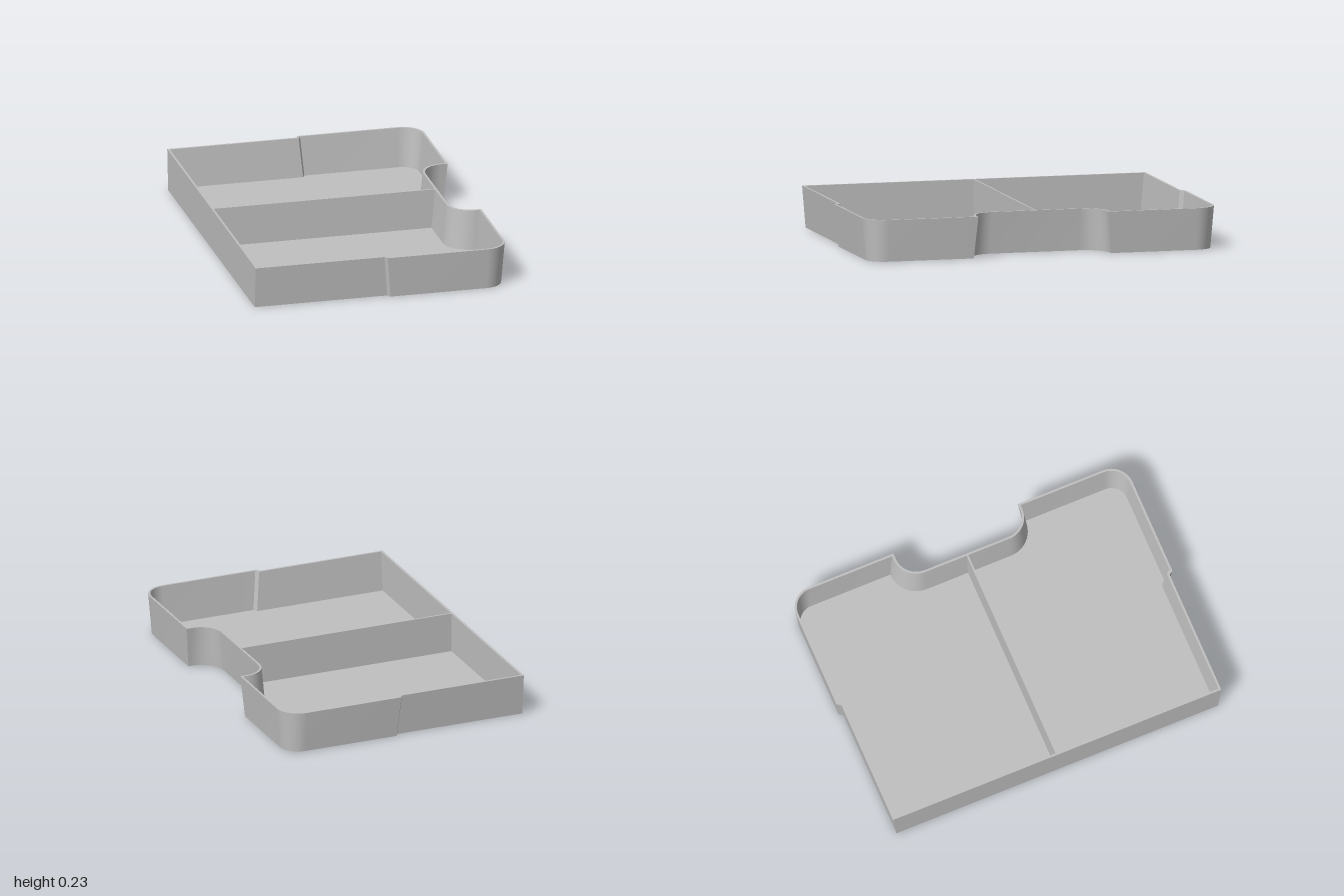
import * as THREE from 'three';
import { toCreasedNormals } from 'three/addons/utils/BufferGeometryUtils.js';

const HEIGHT = 0.233, TAPER = 0.02, WALL = 0.012, FLOOR = 0.01, BACK = 0.716;

// Tray outline seen from above (x, -z), counter-clockwise.
// inset moves the tapered sides inwards, backInset only the straight back wall.
function outline(inset, backInset) {
  const half = [];
  const arc = (cx, cy, r, from, to) => {
    for (let i = 0; i <= 12; i++) {
      const a = THREE.MathUtils.degToRad(from + (to - from) * i / 12);
      half.push(new THREE.Vector2(cx + r * Math.cos(a), cy + r * Math.sin(a)));
    }
  };
  const right = BACK - inset, r = 0.125 - inset;
  half.push(
    new THREE.Vector2(-BACK + backInset, -0.977 + inset),
    new THREE.Vector2(0.013 + inset, -0.977 + inset), // small step in the side
    new THREE.Vector2(0.026 + inset, -1 + inset),
  );
  arc(right - r, -1 + inset + r, r, -90, 0);            // rounded outer corner
  half.push(new THREE.Vector2(right, -0.37 - inset));   // sharp lip of the notch
  arc(0.68, -0.25, 0.12 + inset, -90, -180);            // curved notch corner
  const mirrored = half.map(p => new THREE.Vector2(p.x, -p.y)).reverse();
  return half.concat(mirrored);
}

function trayGeometry() {
  // Bottom edge, outer rim, inner rim, inner floor edge
  const rings = [
    { y: 0, pts: outline(TAPER, 0) },
    { y: HEIGHT, pts: outline(0, 0) },
    { y: HEIGHT, pts: outline(WALL, WALL) },
    { y: FLOOR, pts: outline(TAPER + WALL, WALL) },
  ];
  const n = rings[0].pts.length;
  const position = [], index = [];
  for (const ring of rings) for (const p of ring.pts) position.push(p.x, ring.y, -p.y);

  // Walls and rim
  for (let k = 0; k < rings.length - 1; k++) {
    for (let i = 0; i < n; i++) {
      const j = (i + 1) % n;
      const a = k * n + i, b = k * n + j, c = b + n, d = a + n;
      index.push(a, b, c, a, c, d);
    }
  }
  // Underside and inner floor
  for (const [a, b, c] of THREE.ShapeUtils.triangulateShape(rings[0].pts, [])) index.push(a, c, b);
  const f = 3 * n;
  for (const [a, b, c] of THREE.ShapeUtils.triangulateShape(rings[3].pts, [])) index.push(f + a, f + b, f + c);

  const geometry = new THREE.BufferGeometry();
  geometry.setAttribute('position', new THREE.Float32BufferAttribute(position, 3));
  geometry.setIndex(index);
  return toCreasedNormals(geometry, 0.4);
}

export function createModel() {
  const model = new THREE.Group();
  model.name = 'dividedTray';
  const grey = new THREE.MeshStandardMaterial({ color: 0xc0c0c0 });
  grey.name = 'light grey';

  const tray = new THREE.Mesh(trayGeometry(), grey);
  tray.name = 'tray';
  model.add(tray);

  // Divider between the two compartments, its front end leaning with the notch wall
  const x0 = -BACK + WALL / 2, x1 = 0.554;
  const side = new THREE.Shape([
    new THREE.Vector2(x0, FLOOR / 2),
    new THREE.Vector2(x1 - TAPER, FLOOR / 2),
    new THREE.Vector2(x1, HEIGHT),
    new THREE.Vector2(x0, HEIGHT),
  ]);
  const divider = new THREE.Mesh(
    new THREE.ExtrudeGeometry(side, { depth: 0.01, bevelEnabled: false }), grey);
  divider.name = 'divider';
  divider.position.z = -0.005;
  model.add(divider);

  return model;
}
